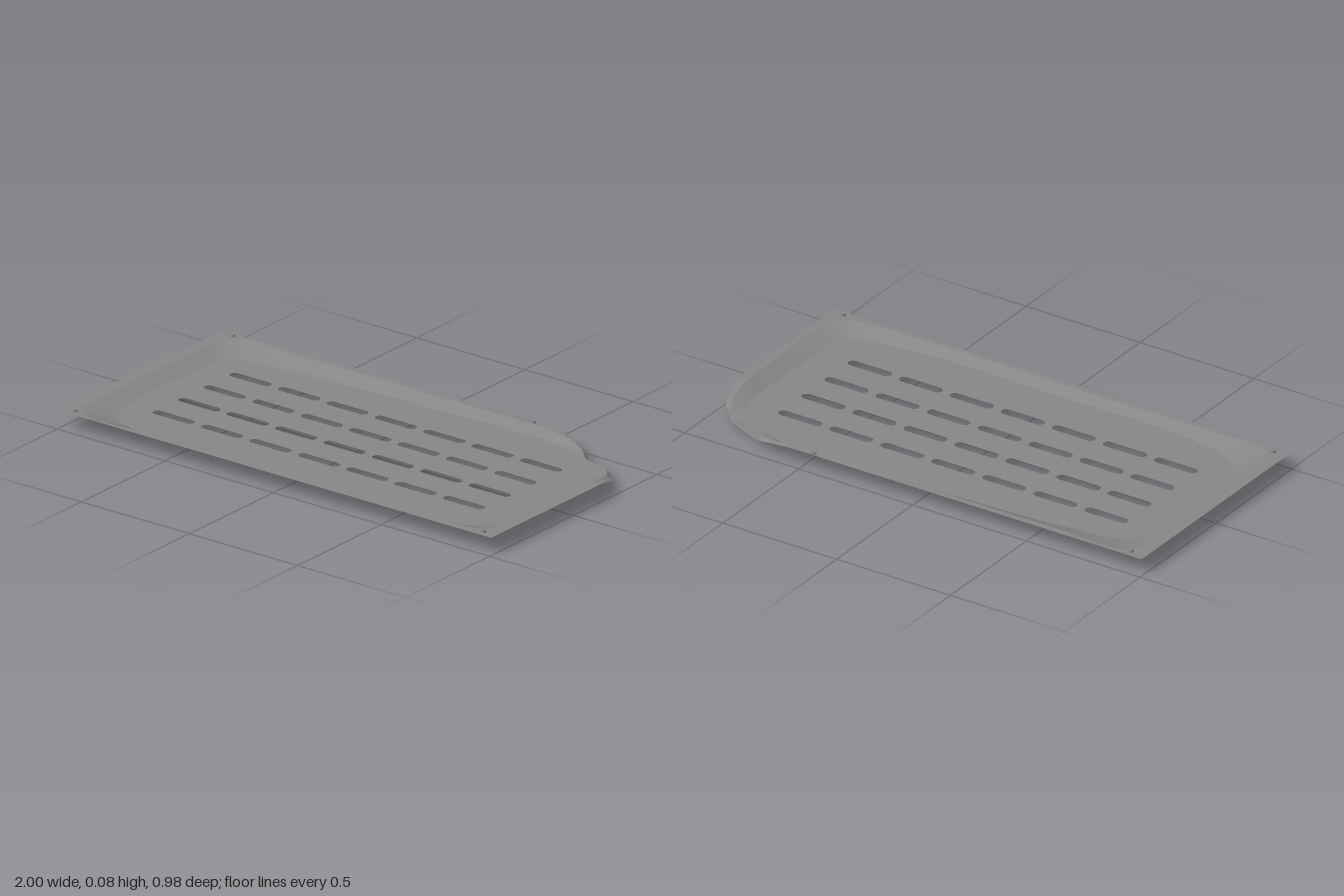
import * as THREE from 'three';

const RIM = 0.07, FLOOR = 0.04, STEPS = 6;

// Matching stations around the tray: [x, z, y], y defaults to the given level
const outer = [
  [-1, 0.49], [-0.6, 0.49], [0, 0.49], [0.6, 0.49], [1, 0.49], [1, 0.3], [1, 0], [1, -0.18],
  [0.96, -0.29, 0.037], [0.89, -0.36, 0.015], [0.77, -0.395, 0], [0.71, -0.45, 0.032],
  [0.64, -0.477, 0.055], [0.53, -0.49], [0, -0.49], [-0.6, -0.49], [-1, -0.49], [-1, -0.25], [-1, 0.25],
];
const crease = [
  [-0.93, 0.45], [-0.6, 0.468], [0, 0.465], [0.6, 0.468], [0.935, 0.43], [0.97, 0.3], [0.963, 0], [0.96, -0.17],
  [0.935, -0.28, 0.055], [0.87, -0.355, 0.042], [0.765, -0.383, 0.04], [0.7, -0.435, 0.047],
  [0.62, -0.458, 0.06], [0.52, -0.465], [0, -0.465], [-0.6, -0.465], [-0.93, -0.45], [-0.955, -0.25], [-0.955, 0.25],
];
const inner = [
  [-0.83, 0.36], [-0.6, 0.425], [0, 0.43], [0.6, 0.425], [0.84, 0.37], [0.88, 0.28], [0.9, 0], [0.9, -0.16],
  [0.88, -0.26], [0.82, -0.33], [0.74, -0.372], [0.67, -0.41],
  [0.58, -0.43], [0.48, -0.435], [0, -0.42], [-0.6, -0.39], [-0.84, -0.34], [-0.88, -0.2], [-0.88, 0.2],
];

// Sample a closed loop, STEPS points per station, straight or smooth
function sampleLoop(stations, level, smooth) {
  const pts = stations.map(([x, z, y = level]) => new THREE.Vector3(x, y, z));
  const curve = new THREE.CatmullRomCurve3(pts, true);
  const n = pts.length, out = [];
  for (let i = 0; i < n * STEPS; i++) {
    const k = Math.floor(i / STEPS), t = (i % STEPS) / STEPS;
    out.push(smooth ? curve.getPoint(i / (n * STEPS)) : pts[k].clone().lerp(pts[(k + 1) % n], t));
  }
  return out;
}

// Closed band of quads between two loops, facing up
function band(a, b) {
  const n = a.length, index = [];
  for (let i = 0; i < n; i++) {
    const j = (i + 1) % n;
    index.push(i, j, n + i, j, n + j, n + i);
  }
  const geo = new THREE.BufferGeometry().setFromPoints([...a, ...b]);
  geo.setIndex(index);
  geo.computeVertexNormals();
  return geo;
}

// Round-ended slot outline
function slot(cx, cy, length, r) {
  const h = length / 2 - r, path = new THREE.Path();
  path.absarc(cx + h, cy, r, -Math.PI / 2, Math.PI / 2, false);
  path.absarc(cx - h, cy, r, Math.PI / 2, Math.PI * 1.5, false);
  path.closePath();
  return path;
}

export function createModel() {
  const metal = new THREE.MeshStandardMaterial({ color: 0x868686, side: THREE.DoubleSide });
  metal.name = 'grey metal';
  const group = new THREE.Group();
  group.name = 'ventedTray';
  const add = (name, geo) => {
    const mesh = new THREE.Mesh(geo, metal);
    mesh.name = name;
    group.add(mesh);
    return mesh;
  };

  const outerLoop = sampleLoop(outer, RIM, false);
  const creaseLoop = sampleLoop(crease, RIM, true);
  const floorLoop = sampleLoop(inner, FLOOR, true);

  // Flat rim, folding down at the notched back corner
  add('rim', band(outerLoop, creaseLoop));
  // Sloping wall down to the floor
  add('slopedWall', band(creaseLoop, floorLoop));

  // Floor with four rows of seven slots
  const shape = new THREE.Shape(floorLoop.map((p) => new THREE.Vector2(p.x, -p.z)));
  for (let row = 0; row < 4; row++) {
    for (let col = 0; col < 7; col++) {
      shape.holes.push(slot(-0.674 + col * 0.224, 0.234 - row * 0.153, 0.186, 0.019));
    }
  }
  const floor = add('slottedFloor', new THREE.ShapeGeometry(shape, 8).rotateX(-Math.PI / 2));
  floor.position.y = FLOOR;

  // Small fasteners on the rim
  for (const [x, z] of [[-0.935, -0.463], [-0.945, 0.463], [0.945, 0.463], [0.445, -0.48]]) {
    const stud = add('fastener', new THREE.CylinderGeometry(0.009, 0.009, 0.012, 12));
    stud.position.set(x, RIM + 0.004, z);
  }
  return group;
}
